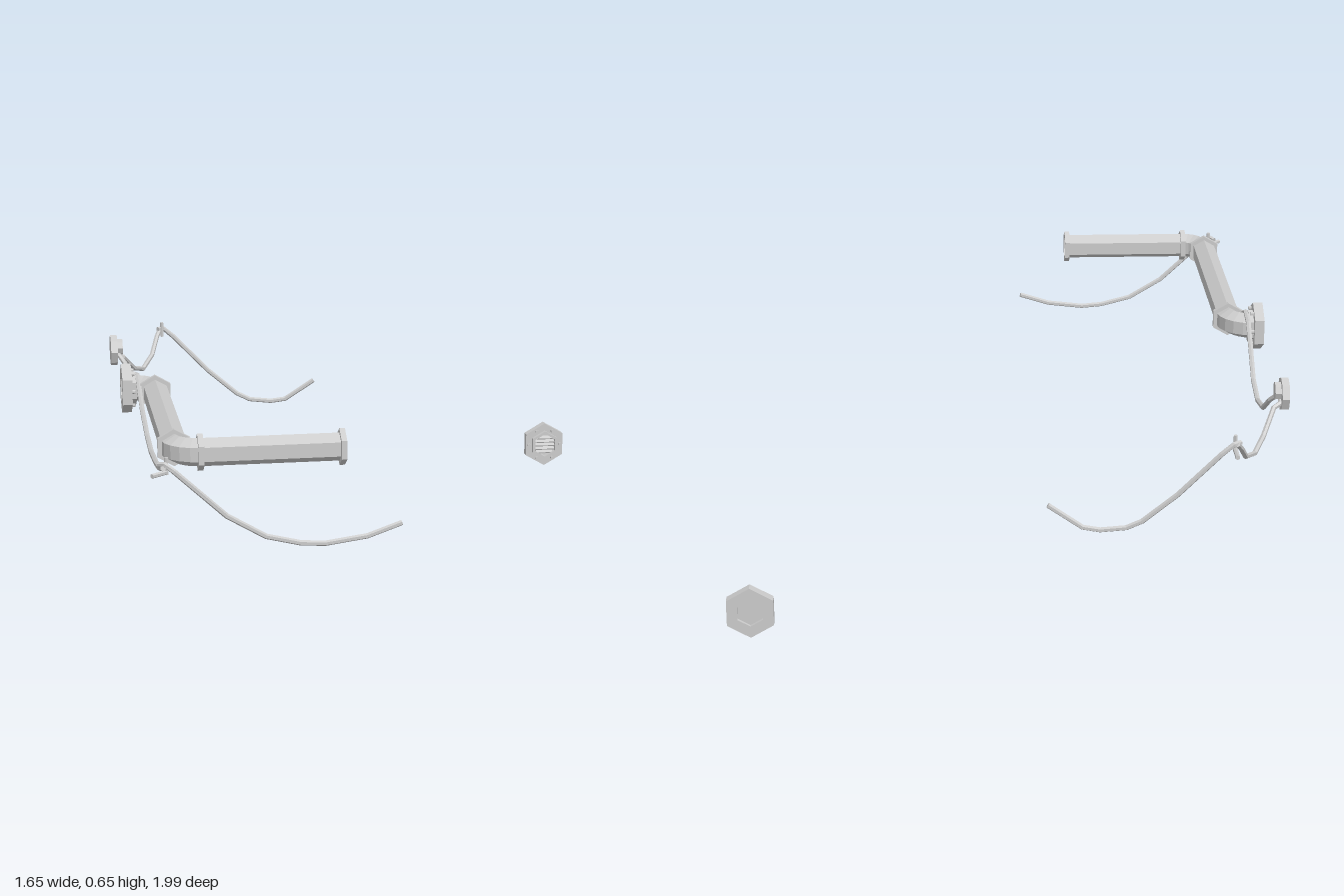
import * as THREE from 'three';

const material = new THREE.MeshStandardMaterial({ color: 0xcccccc, flatShading: true, side: THREE.DoubleSide });
const V = (p) => new THREE.Vector3(...p);

function part(geometry, name, position = [0, 0, 0]) {
  const mesh = new THREE.Mesh(geometry, material);
  mesh.name = name;
  mesh.position.set(...position);
  return mesh;
}

// Sweep a polygon with one corner up along a path, with closed ends
function sweep(path, radius, sides) {
  const pts = path.map(V), pos = [], index = [];
  const n = pts.length, Y = new THREE.Vector3(0, 1, 0);
  pts.forEach((p, i) => {
    const before = p.clone().sub(pts[Math.max(i - 1, 0)]).normalize();
    const after = pts[Math.min(i + 1, n - 1)].clone().sub(p).normalize();
    const t = before.add(after).normalize();
    const side = t.clone().cross(Y).normalize();
    const up = side.clone().cross(t);
    for (let j = 0; j < sides; j++) {
      const a = (j / sides) * Math.PI * 2;
      const v = p.clone().addScaledVector(up, radius * Math.cos(a)).addScaledVector(side, radius * Math.sin(a));
      pos.push(v.x, v.y, v.z);
    }
  });
  for (let i = 0; i < n - 1; i++) {
    for (let j = 0; j < sides; j++) {
      const a = i * sides + j, b = i * sides + (j + 1) % sides;
      index.push(a, b, a + sides, b, b + sides, a + sides);
    }
  }
  const last = (n - 1) * sides;
  for (let j = 1; j < sides - 1; j++) {
    index.push(0, j + 1, j, last, last + j, last + j + 1);
  }
  const g = new THREE.BufferGeometry();
  g.setAttribute('position', new THREE.Float32BufferAttribute(pos, 3));
  g.setIndex(index);
  g.computeVertexNormals();
  return g;
}

// Six corners, the first pointing up
function hexPoints(r) {
  return Array.from({ length: 6 }, (_, k) => {
    const a = Math.PI / 2 + (k * Math.PI) / 3;
    return new THREE.Vector2(r * Math.cos(a), r * Math.sin(a));
  });
}

// Hexagonal ring rising along +z from z = 0
function hexRing(outer, inner, depth) {
  const shape = new THREE.Shape(hexPoints(outer));
  shape.holes.push(new THREE.Path(hexPoints(inner).reverse()));
  return new THREE.ExtrudeGeometry(shape, { depth, bevelEnabled: false });
}

// Prism along z, centred on its own origin
function prism(r, depth, sides) {
  return new THREE.CylinderGeometry(r, r, depth, sides).rotateX(Math.PI / 2);
}

// Wall flange with a raised rim and six bolts, facing +z
function flange(name) {
  const g = new THREE.Group();
  g.name = name;
  g.add(part(hexRing(0.078, 0.042, 0.03), 'flangePlate'));
  g.add(part(hexRing(0.052, 0.042, 0.045), 'flangeRim'));
  g.add(part(prism(0.045, 0.01, 6), 'flangeBacking', [0, 0, 0.015]));
  for (let k = 0; k < 6; k++) {
    const a = (k * Math.PI) / 3;
    g.add(part(prism(0.006, 0.012, 6), 'bolt', [0.057 * Math.cos(a), 0.057 * Math.sin(a), 0.034]));
  }
  return g;
}

// Nail driven into the wall with an upturned tip
function wallHook(name, wall, tip) {
  const g = new THREE.Group();
  g.name = name;
  g.add(part(sweep([wall, tip], 0.007, 6), 'nail'));
  g.add(part(new THREE.CylinderGeometry(0.006, 0.006, 0.05, 6), 'upturnedTip', [tip[0], tip[1] + 0.018, tip[2]]));
  return g;
}

export function createModel() {
  const model = new THREE.Group();
  const pipeY = 0.57;

  // Pipe with two quarter-turn elbows
  const path = [[-0.815, pipeY, 0.015]];
  const steps = 5, bend = 0.07;
  for (let i = 0; i <= steps; i++) {
    const t = (i / steps) * Math.PI / 2;
    path.push([-0.8 + bend * Math.sin(t), pipeY, 0.085 - bend * Math.cos(t)]);
  }
  for (let i = 0; i <= steps; i++) {
    const t = (i / steps) * Math.PI / 2;
    path.push([-0.66 - bend * Math.cos(t), pipeY, 0.787 + bend * Math.sin(t)]);
  }
  path.push([-0.262, pipeY, 0.857]);
  model.add(part(sweep(path, 0.041, 6), 'pipe'));

  // Collars at the elbow joints and the open end
  for (const z of [0.077, 0.78]) {
    model.add(part(hexRing(0.054, 0.038, 0.016), 'pipeCollar', [-0.73, pipeY, z]));
  }
  for (const x of [-0.67, -0.266]) {
    const collar = part(hexRing(0.054, 0.038, 0.016), 'pipeCollar', [x, pipeY, 0.857]);
    collar.rotation.y = Math.PI / 2;
    model.add(collar);
  }

  // Flange where the pipe meets the side wall
  const pipeFlange = flange('pipeFlange');
  pipeFlange.position.set(-0.83, pipeY, 0.015);
  pipeFlange.rotation.y = Math.PI / 2;
  model.add(pipeFlange);

  // Slatted vent on the back wall
  const vent = flange('vent');
  vent.position.set(0.757, 0.078, -1);
  for (let k = -2; k <= 2; k++) {
    const width = Math.abs(k) === 2 ? 0.06 : 0.072;
    const slat = part(new THREE.BoxGeometry(width, 0.004, 0.016), 'slat', [0, k * 0.013, 0.03]);
    slat.rotation.x = 0.5;
    vent.add(slat);
  }
  model.add(vent);

  // Round cable anchor on the side wall
  const anchor = new THREE.Group();
  anchor.name = 'cableAnchor';
  anchor.add(part(prism(0.051, 0.022, 8), 'anchorPlate', [0, 0, 0.011]));
  anchor.add(part(prism(0.027, 0.02, 8), 'anchorKnob', [0, 0.01, 0.03]));
  anchor.position.set(-0.83, 0.567, -0.577);
  anchor.rotation.y = Math.PI / 2;
  model.add(anchor);

  // Hooks in the front and back corners
  model.add(wallHook('frontHook', [-0.808, 0.54, 0.988], [-0.765, 0.54, 0.95]));
  model.add(wallHook('backHook', [-0.63, 0.54, -1], [-0.63, 0.54, -0.937]));

  // Sagging cables strung between the hooks, flange and anchor
  const cables = {
    frontCable: [[-0.785, 0.56, 0.94], [-0.77, 0.565, 0.96], [-0.745, 0.545, 0.966], [-0.6, 0.41, 0.963], [-0.49, 0.345, 0.96],
      [-0.39, 0.32, 0.957], [-0.32, 0.315, 0.954], [-0.2, 0.33, 0.95], [-0.1, 0.363, 0.945]],
    sideCable: [[-0.775, 0.555, 0.965], [-0.78, 0.54, 0.9], [-0.78, 0.52, 0.76], [-0.78, 0.505, 0.58], [-0.78, 0.513, 0.42],
      [-0.78, 0.545, 0.22], [-0.78, 0.585, 0.1], [-0.78, 0.613, 0.02]],
    middleCable: [[-0.78, 0.613, 0.03], [-0.78, 0.6, -0.04], [-0.78, 0.535, -0.12], [-0.78, 0.467, -0.2], [-0.78, 0.442, -0.31],
      [-0.78, 0.465, -0.43], [-0.785, 0.53, -0.53], [-0.8, 0.55, -0.55], [-0.81, 0.56, -0.575]],
    backSideCable: [[-0.81, 0.555, -0.58], [-0.805, 0.545, -0.6], [-0.785, 0.535, -0.61], [-0.745, 0.477, -0.69], [-0.71, 0.457, -0.77],
      [-0.672, 0.485, -0.86], [-0.65, 0.535, -0.92], [-0.635, 0.56, -0.95]],
    backCable: [[-0.645, 0.56, -0.935], [-0.625, 0.56, -0.95], [-0.59, 0.53, -0.95], [-0.47, 0.405, -0.942], [-0.37, 0.32, -0.935],
      [-0.325, 0.298, -0.93], [-0.25, 0.29, -0.925], [-0.2, 0.297, -0.92], [-0.1, 0.363, -0.91]],
  };
  for (const [name, points] of Object.entries(cables)) {
    model.add(part(sweep(points, 0.008, 6), name));
  }
  return model;
}
